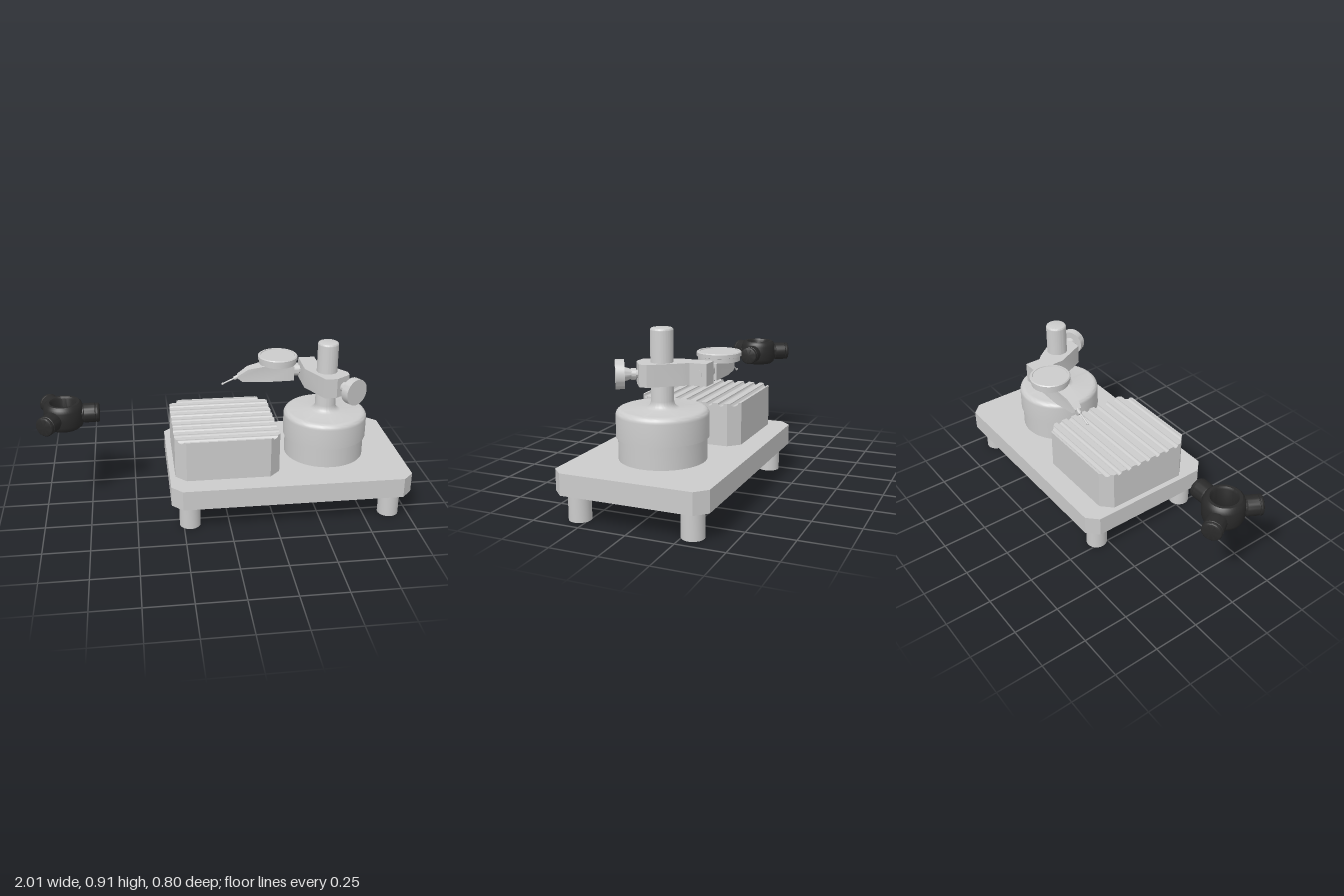
import * as THREE from 'three';
import { toCreasedNormals } from 'three/addons/utils/BufferGeometryUtils.js';

const grey = new THREE.MeshStandardMaterial({ color: 0xcccccc });
const black = new THREE.MeshStandardMaterial({ color: 0x2a2a2a });

export function createModel() {
  const model = new THREE.Group();

  function add(name, geometry, x = 0, y = 0, z = 0, parent = model, material = grey) {
    const mesh = new THREE.Mesh(toCreasedNormals(geometry, 0.6), material);
    mesh.name = name;
    mesh.position.set(x, y, z);
    parent.add(mesh);
    return mesh;
  }
  // Solid of revolution about y; profile runs upward on the outside
  const lathe = (pts, seg = 48) =>
    new THREE.LatheGeometry(pts.map(([r, y]) => new THREE.Vector2(r, y)), seg);

  // Quarter-round profile points from the side to the top of a turned part
  function fillet(r, top, f, n = 6) {
    return Array.from({ length: n + 1 }, (_, i) => {
      const a = (i / n) * Math.PI / 2;
      return [r - f + f * Math.cos(a), top - f + f * Math.sin(a)];
    });
  }
  // Plan outline of [x, z] points raised by height, with round holes [x, z, r]
  function slab(pts, height, holes = []) {
    const shape = new THREE.Shape(pts.map(([x, z]) => new THREE.Vector2(x, -z)));
    for (const [x, z, r] of holes) {
      shape.holes.push(new THREE.Path().absarc(x, -z, r, 0, Math.PI * 2, true));
    }
    return new THREE.ExtrudeGeometry(shape, { depth: height, bevelEnabled: false, curveSegments: 16 })
      .rotateX(-Math.PI / 2);
  }
  // Cylinder running along a horizontal or slanted direction
  function rod(name, a, b, r, seg = 32, r2 = r) {
    const from = new THREE.Vector3(...a), to = new THREE.Vector3(...b);
    const dir = to.clone().sub(from);
    const mesh = add(name, new THREE.CylinderGeometry(r2, r, dir.length(), seg));
    mesh.position.copy(from).addScaledVector(dir, 0.5);
    mesh.quaternion.setFromUnitVectors(new THREE.Vector3(0, 1, 0), dir.normalize());
    return mesh;
  }

  // Base plate in two layers: blind holes below, small tapped holes above
  const [x0, x1, zw, c] = [-0.315, 1, 0.4, 0.058];
  const plate = [[x0 + c, -zw], [x1 - c, -zw], [x1, -zw + c], [x1, zw - c],
    [x1 - c, zw], [x0 + c, zw], [x0, zw - c], [x0, -zw + c]];
  const boltHoles = [], tappedHoles = [];
  for (const sx of [-1, 1]) for (const sz of [-1, 1]) {
    boltHoles.push([sx * 0.245, sz * 0.163, 0.026]);
    tappedHoles.push([0.785 + sx * 0.105, -0.308 + sz * 0.052, 0.011]);
  }
  add('basePlateLower', slab(plate, 0.06, boltHoles), 0, 0.147);
  add('basePlateUpper', slab(plate, 0.051, tappedHoles), 0, 0.207);

  // Feet with a bore in the underside
  const foot = lathe([[0, 0.09], [0.03, 0.09], [0.03, 0], [0.057, 0], [0.057, 0.147]], 32);
  for (const x of [-0.215, 0.895]) for (const z of [-0.298, 0.298]) add('foot', foot, x, 0, z);

  // Work table: grooved top, chamfered corners made by shearing the end strips
  const half = 0.285, inner = 0.227, pitch = 0.0643, grooveR = 0.016;
  function tableStrip(from, to, grooves) {
    const s = new THREE.Shape();
    s.moveTo(from, 0.258);
    s.lineTo(to, 0.258);
    s.lineTo(to, 0.485);
    for (const g of grooves.slice().reverse()) {
      s.lineTo(g + grooveR, 0.485);
      s.absarc(g, 0.485, grooveR, 0, -Math.PI, true);
    }
    s.lineTo(from, 0.485);
    const geo = new THREE.ExtrudeGeometry(s, { depth: 2, bevelEnabled: false, curveSegments: 8 })
      .translate(0, 0, -1).rotateY(Math.PI / 2);
    const p = geo.attributes.position;
    for (let i = 0; i < p.count; i++) {
      p.setX(i, Math.sign(p.getX(i)) * (half - Math.max(0, Math.abs(p.getZ(i)) - inner)));
    }
    geo.computeVertexNormals();
    return geo;
  }
  const grooves = Array.from({ length: 9 }, (_, i) => (i - 4) * pitch);
  add('tableCentre', tableStrip(-inner, inner, grooves.slice(1, 8)));
  add('tableFrontEdge', tableStrip(-half, -inner, [grooves[0]]));
  add('tableBackEdge', tableStrip(inner, half, [grooves[8]]));

  // Drum and column, turned as one body
  const cx = 0.58;
  add('drumAndColumn', lathe([[0, 0.258], [0.222, 0.258], [0.222, 0.373], [0.232, 0.373],
    ...fillet(0.232, 0.515, 0.03), [0.085, 0.515], [0.074, 0.519], [0.065, 0.527],
    [0.059, 0.538], [0.057, 0.552], ...fillet(0.057, 0.912, 0.012), [0, 0.912]], 64), cx);

  // Adjusting wheel under the plate
  add('underWheel', lathe([[0, 0.12], [0.013, 0.12], [0.013, 0.112], [0.078, 0.112],
    [0.078, 0.126], [0.042, 0.126], [0.042, 0.147]]), cx);

  // Clamp arm around the column
  add('clampArm', slab([[0.465, -0.225], [0.558, -0.225], [0.558, -0.135], [0.585, -0.11],
    [0.69, 0.03], [0.69, 0.07], [0.61, 0.125], [0.545, 0.125], [0.465, -0.04]], 0.111), 0, 0.632);

  // Clamp screw with its knob, aimed 60 degrees off the x axis
  const knobX = 0.69, knobY = 0.688, knobZ = 0.175;
  const along = d => [knobX + d * 0.5, knobY, knobZ + d * 0.866];
  rod('screwShaft', along(-0.14), along(0), 0.02);
  rod('screwCollar', along(-0.078), along(-0.055), 0.029);
  rod('knobHub', along(-0.058), along(-0.02), 0.024, 32, 0.036);
  rod('knob', along(-0.022), along(0.022), 0.073, 48);

  // Gauge stem passing through the clamp
  const gz = -0.18;
  rod('gaugeStem', [0.40, 0.688, gz], [0.561, 0.688, gz], 0.022);
  rod('gaugeCollar', [0.42, 0.688, gz], [0.455, 0.688, gz], 0.037);

  // Gauge body: side profile, narrowed toward the nose
  const side = [[0.105, 0.655], [0.13, 0.635], [0.26, 0.635], [0.425, 0.637], [0.425, 0.72],
    [0.385, 0.73], [0.26, 0.73], [0.165, 0.71], [0.105, 0.668]];
  const body = new THREE.ExtrudeGeometry(new THREE.Shape(side.map(p => new THREE.Vector2(...p))),
    { depth: 0.09, bevelEnabled: false }).translate(0, 0, -0.045);
  const bp = body.attributes.position;
  for (let i = 0; i < bp.count; i++) {
    const t = THREE.MathUtils.clamp((bp.getX(i) - 0.105) / 0.155, 0, 1);
    bp.setZ(i, bp.getZ(i) * (0.45 + 0.55 * t));
  }
  body.computeVertexNormals();
  add('gaugeBody', body, 0, 0, gz);

  // Gauge dial
  add('gaugeDial', lathe([[0, 0.726], [0.106, 0.726], [0.106, 0.748], [0.113, 0.75],
    [0.113, 0.768], [0.108, 0.773], [0.098, 0.773], [0.097, 0.769], [0, 0.769]], 56), 0.34, 0, -0.204);

  // Stylus and its ball tip
  rod('stylusHolder', [0.12, 0.665, gz], [0.085, 0.648, gz], 0.011, 16);
  rod('stylus', [0.11, 0.66, gz], [0.02, 0.618, gz], 0.005, 12, 0.004);
  add('stylusTip', new THREE.SphereGeometry(0.007, 16, 12), 0.02, 0.618, gz);

  // Separate three-armed grip: ring with rounded barrels
  const grip = new THREE.Group();
  grip.name = 'threeArmGrip';
  grip.position.set(-0.868, 0.561, 0);
  model.add(grip);
  add('gripRing', lathe([[0.066, 0.06], [0.066, -0.06], [0.073, -0.071], [0.088, -0.071],
    [0.1, -0.06], [0.107, -0.04], [0.109, 0], [0.107, 0.04], [0.1, 0.06], [0.088, 0.071],
    [0.073, 0.071], [0.066, 0.06]]), 0, 0, 0, grip, black);
  const barrel = lathe([[0, 0.085], [0.048, 0.085], [0.048, 0.105], [0.053, 0.11], [0.053, 0.168],
    [0.05, 0.17], [0.05, 0.173], [0.053, 0.175], ...fillet(0.053, 0.192, 0.01), [0, 0.192]], 32)
    .rotateZ(-Math.PI / 2);
  for (let i = 0; i < 3; i++) {
    add('gripArm', barrel, 0, 0, 0, grip, black).rotation.y = i * Math.PI * 2 / 3;
  }

  return model;
}
